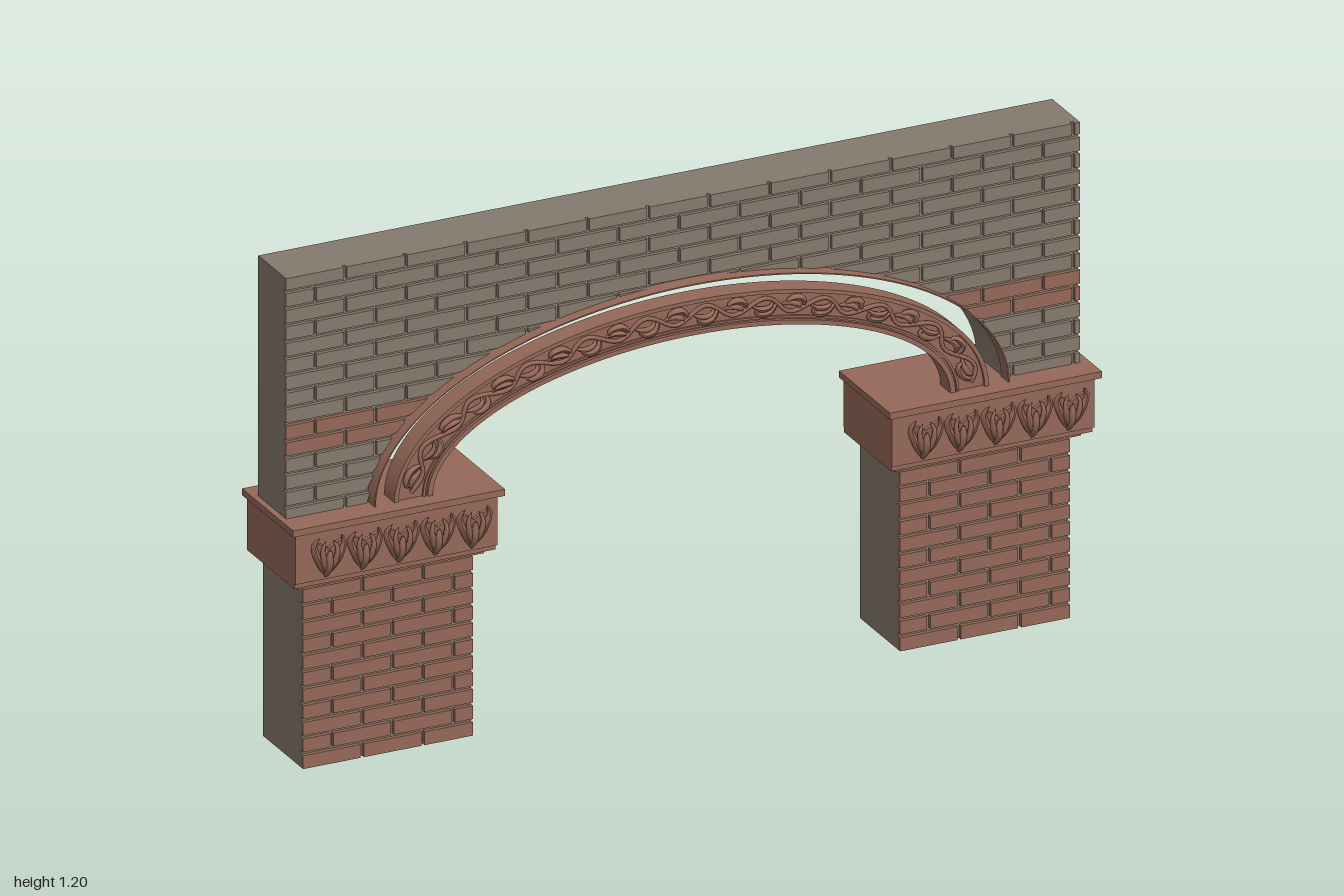
import * as THREE from 'three';
import { mergeGeometries } from 'three/addons/utils/BufferGeometryUtils.js';

const CX = 0.005, SPRING = 0.61;          // centre and springing line of the arch
const OPEN_X = 0.785, OPEN_Y = 0.39;      // half width and rise of the wall opening
const COURSE = 0.0403, JOINT = 0.008, BRICK = 0.15;

export function createModel() {
  const stone = new THREE.MeshStandardMaterial({ color: 0x85796d });
  stone.name = 'greyStone';
  const red = new THREE.MeshStandardMaterial({ color: 0x946858 });
  red.name = 'redBrick';
  const model = new THREE.Group();
  model.name = 'brickArch';

  const add = (parent, name, geometry, material) => {
    const mesh = new THREE.Mesh(geometry, material);
    mesh.name = name;
    parent.add(mesh);
    return mesh;
  };
  // Box given by its limits
  const box = (x0, x1, y0, y1, z0, z1) =>
    new THREE.BoxGeometry(x1 - x0, y1 - y0, z1 - z0)
      .translate((x0 + x1) / 2, (y0 + y1) / 2, (z0 + z1) / 2);
  const extrude = (shape, z0, z1) =>
    new THREE.ExtrudeGeometry(shape, { depth: z1 - z0, bevelEnabled: false, curveSegments: 48 })
      .translate(0, 0, z0);

  // Half-elliptical band standing on the springing line
  const band = (ox, oy, ix, iy, z0, z1) => {
    const s = new THREE.Shape();
    s.moveTo(CX + ox, SPRING);
    s.absellipse(CX, SPRING, ox, oy, 0, Math.PI, false, 0);
    s.lineTo(CX - ix, SPRING);
    s.absellipse(CX, SPRING, ix, iy, Math.PI, 0, true, 0);
    s.closePath();
    return extrude(s, z0, z1);
  };

  // Tube that swells in the middle and comes to a point at both ends
  const petal = (points, r, seg = 10, sides = 6) => {
    const curve = new THREE.CatmullRomCurve3(points.map(p => new THREE.Vector3(...p)));
    const g = new THREE.TubeGeometry(curve, seg, r, sides, false);
    const pos = g.attributes.position, v = new THREE.Vector3();
    for (let i = 0; i <= seg; i++) {
      const c = curve.getPointAt(i / seg);
      const k = Math.pow(Math.max(Math.sin(Math.PI * i / seg), 0), 0.6);
      for (let j = 0; j <= sides; j++) {
        const n = i * (sides + 1) + j;
        v.fromBufferAttribute(pos, n).sub(c).multiplyScalar(k).add(c);
        pos.setXYZ(n, v.x, v.y, v.z);
      }
    }
    g.computeVertexNormals();
    return g.toNonIndexed();
  };

  // Brick limits of one staggered course
  const courseBricks = (x0, x1, row) => {
    const out = [];
    for (let x = x0 - (row % 2 ? BRICK / 2 : 0); x < x1; x += BRICK) {
      const a = Math.max(x, x0), b = Math.min(x + BRICK - JOINT, x1);
      if (b - a > 0.01) out.push([a, b]);
    }
    return out;
  };

  // Wall core with the arched opening
  const L = -0.985, R = 0.978, TOP = 1.195;
  const wall = new THREE.Group();
  wall.name = 'wall';
  model.add(wall);
  const core = new THREE.Shape();
  core.moveTo(R, SPRING);
  core.lineTo(R, TOP);
  core.lineTo(L, TOP);
  core.lineTo(L, SPRING);
  core.lineTo(CX - OPEN_X, SPRING);
  core.absellipse(CX, SPRING, OPEN_X, OPEN_Y, Math.PI, 0, true, 0);
  core.closePath();
  add(wall, 'wallCore', extrude(core, -0.09, 0.042), stone);

  // Facing bricks, trimmed along the opening
  const rise = x => {
    const t = (x - CX) / OPEN_X;
    return Math.abs(t) < 1 ? SPRING + OPEN_Y * Math.sqrt(1 - t * t) : SPRING;
  };
  const greyBricks = [], redBricks = [];
  for (let row = 0; row < 15; row++) {
    const base = 0.602 + row * COURSE;
    const y0 = Math.max(base, SPRING), y1 = Math.min(base + COURSE - JOINT, TOP);
    const q = (y1 - SPRING) / OPEN_Y;
    const cut = q < 1 ? OPEN_X * Math.sqrt(1 - q * q) : 0;
    for (const [a, b] of courseBricks(L, R, row)) {
      const pieces = cut ? [[a, Math.min(b, CX - cut)], [Math.max(a, CX + cut), b]] : [[a, b]];
      for (const [p, e] of pieces) {
        if (e - p < 0.004) continue;
        const s = new THREE.Shape();
        s.moveTo(e, y1);
        s.lineTo(p, y1);
        for (let i = 0; i <= 8; i++) {
          const x = p + (e - p) * i / 8;
          s.lineTo(x, Math.min(Math.max(y0, rise(x)), y1 - 0.0003));
        }
        s.closePath();
        (row === 4 || row === 5 ? redBricks : greyBricks).push(extrude(s, 0.042, 0.052));
      }
    }
  }
  add(wall, 'greyFacingBricks', mergeGeometries(greyBricks), stone);
  add(wall, 'redBandBricks', mergeGeometries(redBricks), red);

  // Thin lip around the opening
  add(wall, 'openingLip', band(OPEN_X, OPEN_Y, OPEN_X - 0.003, OPEN_Y - 0.003, 0.042, 0.08), red);

  // Carved arch ring with raised rims
  const arch = new THREE.Group();
  arch.name = 'archRing';
  model.add(arch);
  const IX = 0.64, IY = 0.265, DX = 0.095, DY = 0.085;
  const ringPart = (name, v0, v1, z0, z1) =>
    add(arch, name, band(IX + DX * v1, IY + DY * v1, IX + DX * v0, IY + DY * v0, z0, z1), red);
  ringPart('ringBody', 0, 1, 0.025, 0.07);
  ringPart('innerRim', 0, 0.13, 0.07, 0.078);
  ringPart('innerBead', 0.18, 0.24, 0.07, 0.075);
  ringPart('outerRim', 0.89, 1, 0.07, 0.078);

  // Scrolling vine: u runs along the ring, v across it
  const mid = new THREE.EllipseCurve(0, 0, IX + DX / 2, IY + DY / 2, 0, Math.PI, false, 0);
  const onRing = (u, v, z) => {
    const t = Math.PI * mid.getUtoTmapping(u);
    return [CX + (IX + DX * v) * Math.cos(t), SPRING + (IY + DY * v) * Math.sin(t), z];
  };
  const WAVES = 11, vine = [], stem = [];
  for (let i = 0; i <= WAVES * 8; i++) {
    const u = 0.01 + 0.98 * i / (WAVES * 8);
    stem.push(new THREE.Vector3(...onRing(u, 0.56 + 0.2 * Math.sin(i * Math.PI / 4), 0.073)));
  }
  vine.push(new THREE.TubeGeometry(new THREE.CatmullRomCurve3(stem), WAVES * 16, 0.005, 6).toNonIndexed());
  for (let i = 0; i < WAVES * 2; i++) {
    const u = 0.01 + 0.98 * (i + 0.5) / (WAVES * 2), side = i % 2 ? 1 : -1;
    const w = (du, dv, z) => onRing(u + du, 0.56 + side * dv, z);
    vine.push(petal([w(-0.02, -0.08, 0.072), w(-0.008, 0.2, 0.078), w(0.01, 0.2, 0.08), w(0.012, 0, 0.076)], 0.008));
    vine.push(petal([w(0.02, 0, 0.072), w(0.006, 0.08, 0.08), w(-0.006, 0.02, 0.082), w(-0.012, -0.1, 0.074)], 0.007));
  }
  add(arch, 'carvedVine', mergeGeometries(vine), red);

  // Acanthus leaf, base at the origin
  const leafParts = [petal([[0, 0, 0.111], [0, 0.04, 0.132], [0, 0.078, 0.138]], 0.011)];
  for (const s of [-1, 1]) {
    leafParts.push(petal([[0, 0.004, 0.112], [s * 0.022, 0.045, 0.127], [s * 0.037, 0.09, 0.131], [s * 0.026, 0.112, 0.14]], 0.009));
    leafParts.push(petal([[0, 0.01, 0.116], [s * 0.013, 0.045, 0.135], [s * 0.018, 0.08, 0.138], [s * 0.008, 0.1, 0.134]], 0.007));
  }
  const back = new THREE.Shape();
  back.moveTo(0, 0.005);
  back.quadraticCurveTo(0.03, 0.03, 0.036, 0.1);
  back.quadraticCurveTo(0.015, 0.095, 0, 0.08);
  back.quadraticCurveTo(-0.015, 0.095, -0.036, 0.1);
  back.quadraticCurveTo(-0.03, 0.03, 0, 0.005);
  leafParts.push(new THREE.ExtrudeGeometry(back, { depth: 0.008, bevelEnabled: false, curveSegments: 6 })
    .rotateX(0.2).translate(0, 0, 0.106));
  const leaf = mergeGeometries(leafParts);

  // Piers with capitals
  const BACK = -0.142;
  for (const side of [-1, 1]) {
    const pier = new THREE.Group();
    pier.name = side > 0 ? 'leftPier' : 'rightPier';
    pier.position.x = side * 0.738;
    model.add(pier);
    add(pier, 'pierCore', box(-0.21, 0.21, 0, 0.446, BACK, 0.052), stone);

    const bricks = [];
    for (let row = 0; row < 11; row++) {
      const y = row * COURSE, y1 = Math.min(y + COURSE - JOINT, 0.446);
      for (const [a, b] of courseBricks(-0.21, 0.21, row)) bricks.push(box(a, b, y, y1, 0.052, 0.062));
    }
    add(pier, 'pierBricks', mergeGeometries(bricks), red);

    add(pier, 'capitalNeck', box(-0.23, 0.23, 0.445, 0.459, BACK, 0.076), red);
    add(pier, 'capitalBase', box(-0.249, 0.249, 0.459, 0.472, BACK, 0.097), red);
    add(pier, 'capitalBlock', box(-0.25, 0.25, 0.472, 0.597, BACK, 0.104), red);
    add(pier, 'capitalSlab', box(-0.262, 0.262, 0.595, 0.611, BACK, 0.118), red);
    for (let i = -2; i <= 2; i++) {
      const m = add(pier, 'capitalLeaf', leaf, red);
      m.position.set(i * 0.09, 0.48, 0);
    }
  }
  return model;
}
